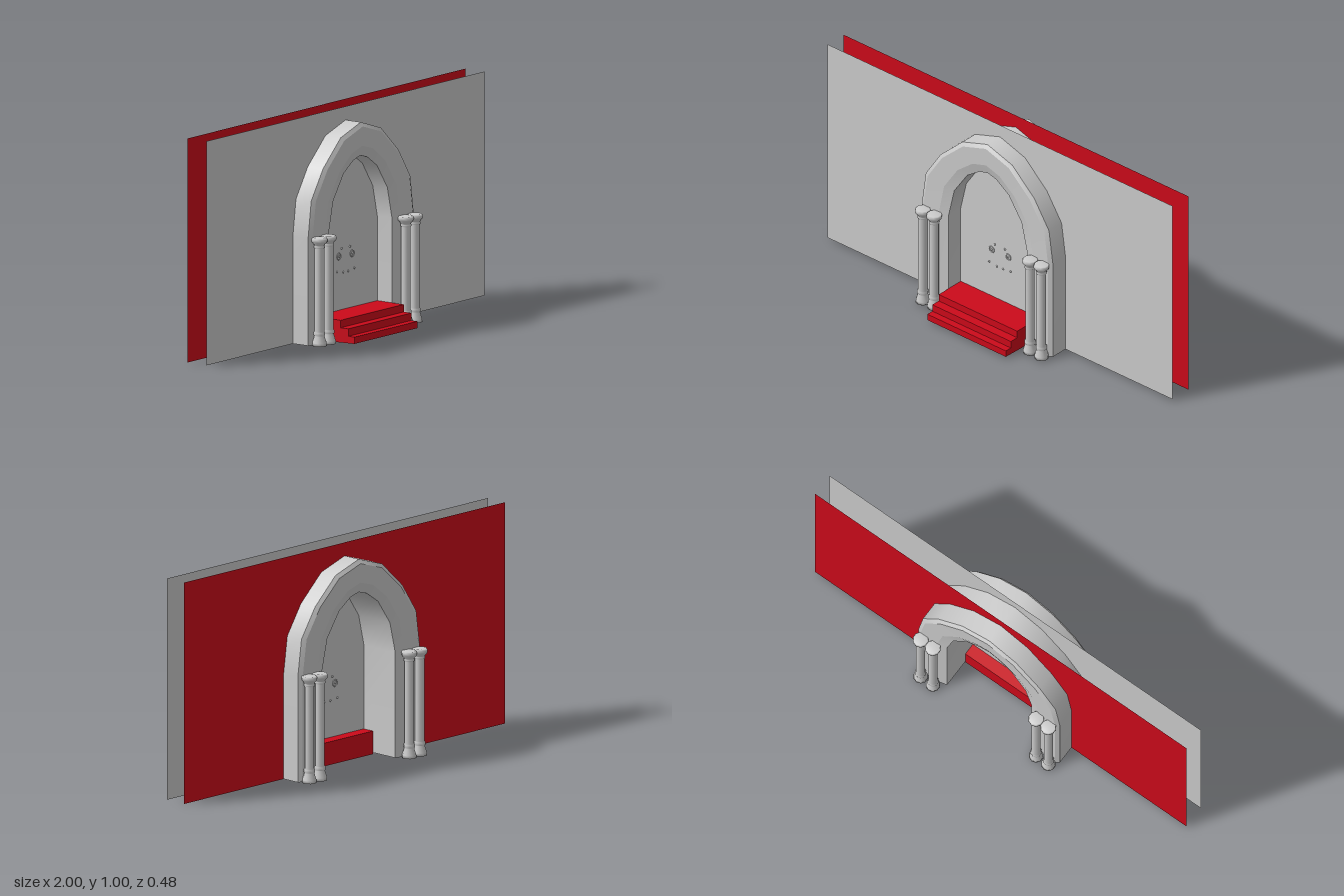
import * as THREE from 'three';

const grey = new THREE.MeshStandardMaterial({ color: 0xcccccc });
const greyThin = new THREE.MeshStandardMaterial({ color: 0xcccccc, side: THREE.DoubleSide });
const red = new THREE.MeshStandardMaterial({ color: 0xcc0a1a });
const redThin = new THREE.MeshStandardMaterial({ color: 0xcc0a1a, side: THREE.DoubleSide });

const GROUND = 0.007;
const FRONT_WALL_Z = 0.02, BACK_WALL_Z = -0.085;

// Half of the pointed arch, from the ground to the apex: outer x, y, inner x, y
const halfArch = [
  [0.38, GROUND, 0.228, GROUND], [0.38, 0.48, 0.228, 0.48], [0.357, 0.645, 0.195, 0.62],
  [0.272, 0.775, 0.12, 0.73], [0.145, 0.893, 0.05, 0.778], [0, 0.94, 0, 0.792],
];
const stations = [
  ...halfArch,
  ...halfArch.slice(0, -1).reverse().map(([a, b, c, d]) => [-a, b, -c, d]),
];

// Section of the arch moulding: share of the way from outer to inner edge, depth
const section = [
  [0, 0.103], [0.12, 0.114], [0.7, 0.112], [1, 0.1],
  [1, -0.17], [0.7, -0.181], [0.12, -0.183], [0, -0.171],
];

function add(parent, name, geometry, material, x = 0, y = 0, z = 0) {
  const mesh = new THREE.Mesh(geometry, material);
  mesh.name = name;
  mesh.position.set(x, y, z);
  parent.add(mesh);
  return mesh;
}

// One strip per side of the section: smooth along the arch, sharp across it
function archGeometry() {
  const pos = [], index = [];
  section.forEach((start, k) => {
    const base = pos.length / 3;
    const end = section[(k + 1) % section.length];
    stations.forEach(([ox, oy, ix, iy], i) => {
      for (const [t, z] of [start, end]) {
        pos.push(ox + (ix - ox) * t, oy + (iy - oy) * t, z);
      }
      if (i === 0) return;
      const a = base + (i - 1) * 2, b = a + 1, c = a + 2, d = a + 3;
      index.push(a, c, b, b, c, d);
    });
  });
  const g = new THREE.BufferGeometry();
  g.setAttribute('position', new THREE.Float32BufferAttribute(pos, 3));
  g.setIndex(index);
  g.computeVertexNormals();
  return g;
}

// Back wall outline with the doorway cut out of its bottom edge
function backWallShape() {
  const s = new THREE.Shape();
  s.moveTo(1, GROUND);
  s.lineTo(1, 1);
  s.lineTo(-1, 1);
  s.lineTo(-1, GROUND);
  for (const [ox, oy, ix, iy] of [...stations].reverse()) {
    s.lineTo((ox + ix) / 2, (oy + iy) / 2);
  }
  return s;
}

// Stepped side profile, pushed across the doorway
function stepsGeometry(width) {
  const s = new THREE.Shape([
    [0.24, 0.008], [0.24, 0.038], [0.207, 0.038], [0.207, 0.071], [0.165, 0.071],
    [0.165, 0.104], [-0.035, 0.104], [-0.035, 0],
  ].map(([z, y]) => new THREE.Vector2(z, y)));
  const g = new THREE.ExtrudeGeometry(s, { depth: width, bevelEnabled: false });
  g.translate(0, 0, -width / 2);
  g.rotateY(-Math.PI / 2);
  return g;
}

// Column turned from one profile: flared foot, ring, shaft, ring, bell capital
const columnGeometry = new THREE.LatheGeometry([
  [0, 0.006], [0.032, 0.006], [0.031, 0.02], [0.022, 0.05], [0.025, 0.053], [0.025, 0.066],
  [0.021, 0.07], [0.021, 0.438], [0.024, 0.441], [0.024, 0.449], [0.022, 0.452],
  [0.034, 0.467], [0.035, 0.478], [0.031, 0.485], [0, 0.485],
].map(([r, y]) => new THREE.Vector2(r, y)), 10);

export function createModel() {
  const model = new THREE.Group();

  // Walls
  const wall = new THREE.PlaneGeometry(2, 1 - GROUND);
  add(model, 'frontWall', wall, greyThin, 0, (1 + GROUND) / 2, FRONT_WALL_Z);
  add(model, 'backWall', new THREE.ShapeGeometry(backWallShape()), redThin, 0, 0, BACK_WALL_Z);

  // Arch and steps
  add(model, 'arch', archGeometry(), grey);
  add(model, 'steps', stepsGeometry(0.455), red);

  // Paired columns on both faces
  const columns = new THREE.Group();
  columns.name = 'columns';
  model.add(columns);
  for (const side of [-1, 1]) {
    for (const x of [0.278, 0.344]) {
      add(columns, 'frontColumn', columnGeometry, grey, side * x, 0, 0.138);
      add(columns, 'backColumn', columnGeometry, grey, side * x, 0, -0.206);
    }
  }

  // Door handles and studs, showing on both faces of the door
  const fittings = new THREE.Group();
  fittings.name = 'doorFittings';
  model.add(fittings);
  const ring = new THREE.TorusGeometry(0.014, 0.003, 6, 14);
  const stud = new THREE.SphereGeometry(0.005, 8, 6);
  for (const side of [-1, 1]) {
    add(fittings, 'handleRing', ring, grey, side * 0.048, 0.342, FRONT_WALL_Z);
    for (const [x, y] of [[0.048, 0.342], [0.018, 0.268], [0.062, 0.275], [0.03, 0.375]]) {
      add(fittings, 'stud', stud, grey, side * x, y, FRONT_WALL_Z);
    }
  }
  return model;
}
